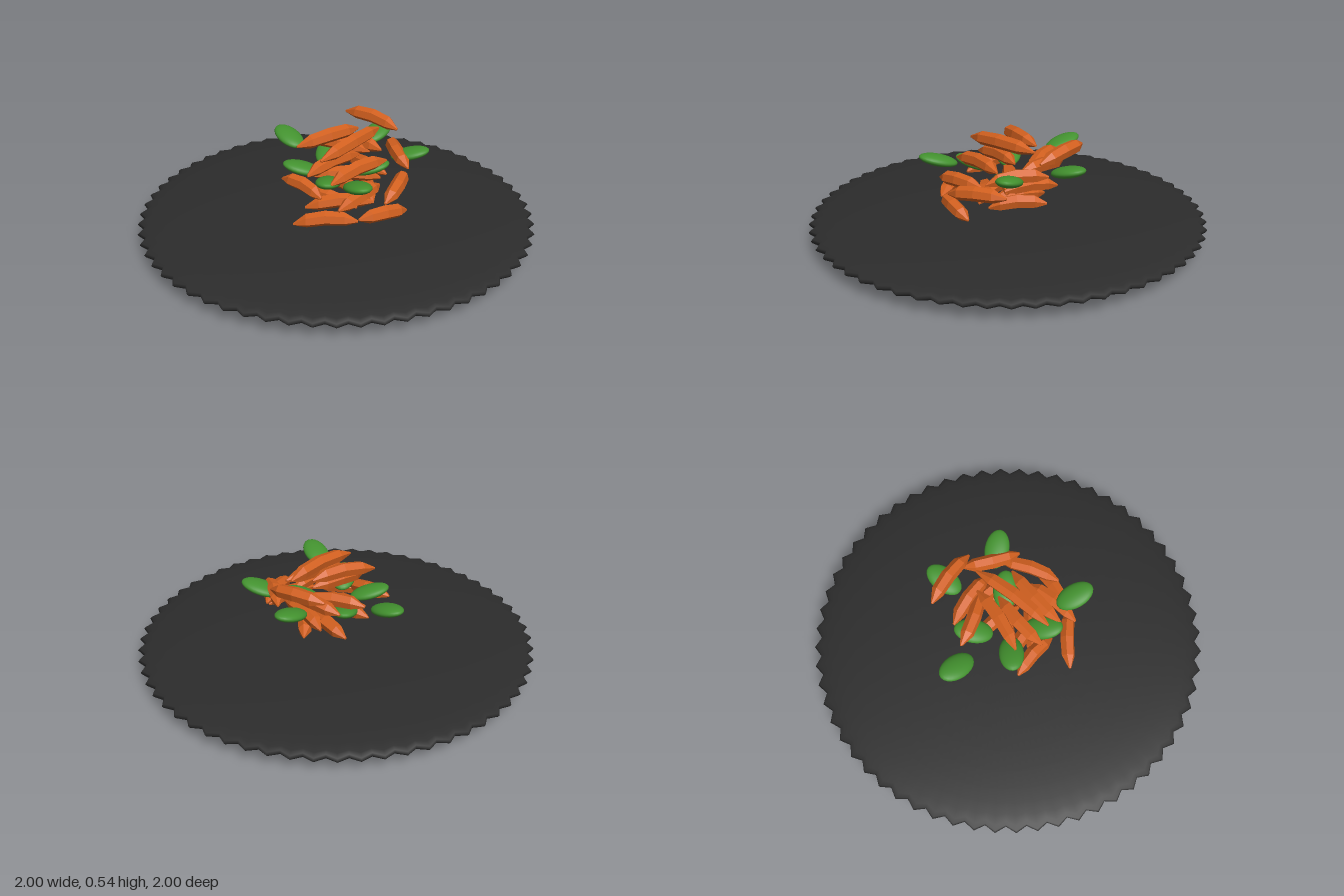
import * as THREE from 'three';

const charcoal = new THREE.MeshStandardMaterial({ color: 0x2c2c2c });
charcoal.name = 'charcoal';
const orange = new THREE.MeshStandardMaterial({ color: 0xd2601f, flatShading: true });
orange.name = 'orange';
const green = new THREE.MeshStandardMaterial({ color: 0x43922f });
green.name = 'leafGreen';

// Lens-shaped plate whose rim zigzags between two radii
function makePlate() {
  const teeth = 60, midY = 0.085, halfY = 0.08;
  const profile = [];
  for (let i = 0; i <= 24; i++) {
    const a = -Math.PI / 2 + (Math.PI * i) / 24;
    profile.push(new THREE.Vector2(Math.max(0, Math.cos(a)), midY + halfY * Math.sin(a)));
  }
  const geo = new THREE.LatheGeometry(profile, teeth * 2);
  const pos = geo.attributes.position;
  for (let i = 0; i < pos.count; i++) {
    const column = Math.floor(i / profile.length);
    if (column % 2 === 0) continue;
    const r = Math.hypot(pos.getX(i), pos.getZ(i));
    const k = 1 - 0.033 * Math.pow(r, 10);
    pos.setX(i, pos.getX(i) * k);
    pos.setZ(i, pos.getZ(i) * k);
  }
  const plate = new THREE.Mesh(geo, charcoal);
  plate.name = 'plate';
  return plate;
}

// Faceted strip with tapered ends, gently arched between two end points
function makeStrip(a, b, lift, side) {
  const sides = 6;
  const stations = [[0, 0.006], [0.2, 0.034], [0.5, 0.037], [0.8, 0.034], [1, 0.006]];
  const dir = b.clone().sub(a).normalize();
  const across = new THREE.Vector3(-dir.z, 0, dir.x).normalize();
  const up = across.clone().cross(dir).normalize();
  if (up.y < 0) up.negate();
  const right = up.clone().cross(dir).normalize();
  const verts = [], index = [];
  stations.forEach(([t, r]) => {
    const bow = 4 * t * (1 - t);
    const c = a.clone().lerp(b, t).addScaledVector(up, lift * bow).addScaledVector(right, side * bow);
    for (let j = 0; j < sides; j++) {
      const q = (j / sides) * Math.PI * 2 + 0.3;
      const p = c.clone().addScaledVector(right, r * Math.cos(q)).addScaledVector(up, r * Math.sin(q));
      verts.push(p.x, p.y, p.z);
    }
  });
  for (let i = 0; i < stations.length - 1; i++) {
    for (let j = 0; j < sides; j++) {
      const p = i * sides + j, q = i * sides + ((j + 1) % sides);
      index.push(p, q, p + sides, q, q + sides, p + sides);
    }
  }
  const last = (stations.length - 1) * sides;
  for (let j = 1; j < sides - 1; j++) {
    index.push(0, j + 1, j, last, last + j, last + j + 1);
  }
  // right x up points along -dir or +dir: keep faces outward
  if (right.clone().cross(up).dot(dir) < 0) {
    for (let i = 0; i < index.length; i += 3) [index[i], index[i + 1]] = [index[i + 1], index[i]];
  }
  const geo = new THREE.BufferGeometry();
  geo.setAttribute('position', new THREE.Float32BufferAttribute(verts, 3));
  geo.setIndex(index);
  geo.computeVertexNormals();
  return new THREE.Mesh(geo, orange);
}

// Flattened oval leaf, long axis pointing along heading, tilted up at the outer end
function makeLeaf(x, y, z, heading) {
  const holder = new THREE.Group();
  const leaf = new THREE.Mesh(new THREE.SphereGeometry(1, 24, 16), green);
  leaf.scale.set(0.1, 0.028, 0.062);
  leaf.rotation.z = 0.27;
  holder.add(leaf);
  holder.position.set(x, y, z);
  holder.rotation.y = heading;
  holder.name = 'leaf';
  return holder;
}

// Layers of strips: height, then end points as x1, z1, x2, z2
const LAYERS = [
  { y: 0.21, strips: [[-0.33, 0.16, -0.07, 0.33], [-0.06, 0.32, 0.22, 0.31], [-0.2, 0.04, 0.1, 0.2],
    [-0.13, -0.1, 0.02, 0.17], [0.05, -0.18, 0.08, 0.12], [0.24, -0.1, 0.12, 0.16]] },
  { y: 0.3, strips: [[0.07, 0.35, 0.31, 0.15], [-0.25, -0.1, -0.17, 0.15], [-0.16, 0.3, 0.13, 0.2],
    [-0.1, -0.04, 0.2, 0.1], [0.19, -0.18, 0.22, 0.12]] },
  { y: 0.395, strips: [[-0.15, 0.21, 0.2, 0.15], [0.35, -0.05, 0.27, 0.24], [-0.2, 0.07, 0.12, 0.02],
    [0.0, -0.27, 0.21, -0.02], [0.12, -0.24, 0.24, 0.04]] },
  { y: 0.49, strips: [[-0.18, -0.07, 0.17, -0.07], [0.23, -0.29, 0.36, 0], [-0.16, 0.13, 0.26, -0.02]] },
];

// Leaves: x, y, z
const LEAVES = [
  [-0.08, 0.405, -0.345, 1.72], [-0.08, 0.41, 0.34, -1.68],
  [0.34, 0.41, -0.16, 0.4], [0.34, 0.41, 0.15, -0.75],
  [-0.15, 0.355, -0.075, 2.65], [-0.12, 0.355, 0.13, -2.2],
  [0.05, 0.35, -0.17, 0.95], [0.15, 0.35, 0.08, -0.6],
];

export function createModel() {
  const model = new THREE.Group();
  model.name = 'platedSalad';
  model.add(makePlate());

  const pile = new THREE.Group();
  pile.name = 'stripPile';
  LAYERS.forEach(({ y, strips }, n) => {
    strips.forEach(([x1, z1, x2, z2], i) => {
      const tilt = 0.012 * (i % 2 ? -1 : 1);
      const strip = makeStrip(new THREE.Vector3(x1, y - tilt, z1), new THREE.Vector3(x2, y + tilt, z2),
        0.018, 0.015 * ((i + n) % 2 ? -1 : 1));
      strip.name = 'strip';
      pile.add(strip);
    });
  });
  model.add(pile);

  const leaves = new THREE.Group();
  leaves.name = 'leaves';
  LEAVES.forEach((l) => leaves.add(makeLeaf(...l)));
  model.add(leaves);
  return model;
}
